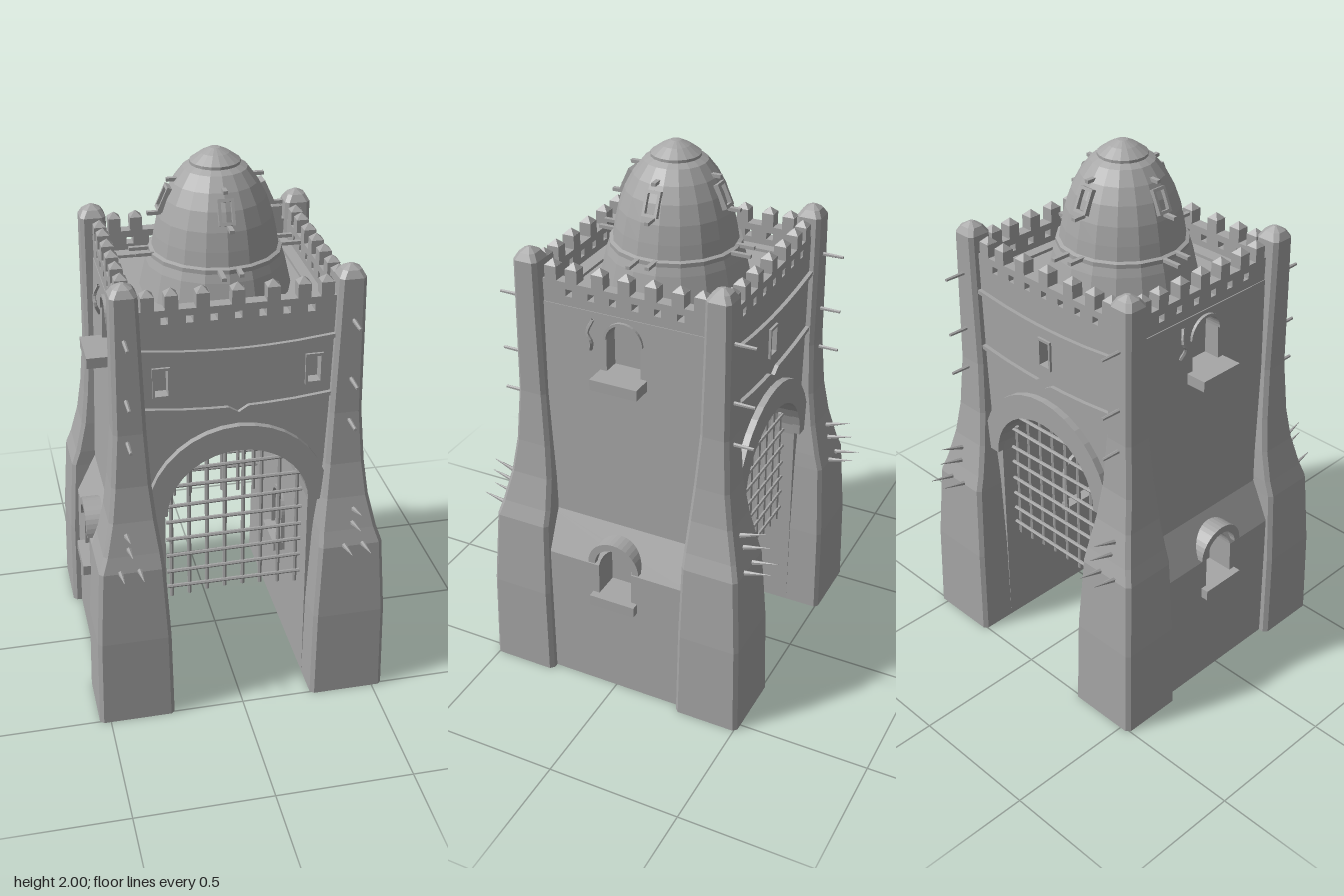
import * as THREE from 'three';

const stone = new THREE.MeshStandardMaterial({ color: 0xa6a6a6, flatShading: true, side: THREE.DoubleSide });
stone.name = 'grey stone';

function add(parent, name, geometry, x = 0, y = 0, z = 0) {
  const mesh = new THREE.Mesh(geometry, stone);
  mesh.name = name;
  mesh.position.set(x, y, z);
  parent.add(mesh);
  return mesh;
}
const box = (parent, name, w, h, d, x, y, z) => add(parent, name, new THREE.BoxGeometry(w, h, d), x, y, z);
const extrude = (shape, depth) => new THREE.ExtrudeGeometry(shape, { depth, bevelEnabled: false, curveSegments: 14 });
const polygon = (pts) => new THREE.Shape(pts.map(([x, y]) => new THREE.Vector2(x, y)));
const rect = (cx, cy, w, h) => polygon([[cx - w / 2, cy - h / 2], [cx + w / 2, cy - h / 2], [cx + w / 2, cy + h / 2], [cx - w / 2, cy + h / 2]]);

// Points of a half ellipse, running from +x over the top to -x
function arc(rx, ry, cy, n = 18) {
  return Array.from({ length: n + 1 }, (_, i) => {
    const a = Math.PI * i / n;
    return [rx * Math.cos(a), cy + ry * Math.sin(a)];
  });
}
const archBand = (ro, ri, cy, ryo = ro, ryi = ri) => polygon([...arc(ro, ryo, cy), ...arc(ri, ryi, cy).reverse()]);

// Tapered round bar between two points
function bar(parent, name, a, b, r0, r1 = r0, sides = 6) {
  const p = new THREE.Vector3(...a), q = new THREE.Vector3(...b), d = q.clone().sub(p);
  const mesh = add(parent, name, new THREE.CylinderGeometry(r1, r0, d.length(), sides));
  mesh.position.copy(p).add(q).multiplyScalar(0.5);
  mesh.quaternion.setFromUnitVectors(new THREE.Vector3(0, 1, 0), d.normalize());
}

// Skin over a stack of equal rings, closed at both ends
function loft(rings) {
  const v = [], n = rings[0].length;
  const tri = (...p) => p.forEach((q) => v.push(...q));
  for (let k = 0; k < rings.length - 1; k++) for (let i = 0; i < n; i++) {
    const j = (i + 1) % n, a = rings[k], b = rings[k + 1];
    tri(a[i], a[j], b[j]);
    tri(a[i], b[j], b[i]);
  }
  const bottom = rings[0], top = rings[rings.length - 1];
  for (let i = 1; i < n - 1; i++) {
    tri(bottom[0], bottom[i + 1], bottom[i]);
    tri(top[0], top[i], top[i + 1]);
  }
  const g = new THREE.BufferGeometry();
  g.setAttribute('position', new THREE.Float32BufferAttribute(v, 3));
  g.computeVertexNormals();
  return g;
}

// Corner tower levels: y, inner x, outer x, inner z, outer z
const LEVELS = [
  [0, .26, .54, .26, .51], [.35, .265, .533, .265, .503], [.64, .28, .515, .27, .485], [.7, .285, .495, .27, .468],
  [.82, .3, .468, .275, .44], [.95, .312, .452, .285, .42], [1.15, .322, .437, .3, .408], [1.45, .332, .434, .308, .406],
  [1.65, .338, .432, .312, .404], [1.675, .352, .418, .328, .39], [1.69, .378, .392, .352, .366],
];
function tower(sx, sz) {
  const g = new THREE.Group();
  g.name = 'cornerTower';
  add(g, 'towerBody', loft(LEVELS.map(([y, xi, xo, zi, zo]) => {
    const c = Math.min(.014, (xo - xi) / 4);
    const x0 = Math.min(sx * xi, sx * xo), x1 = Math.max(sx * xi, sx * xo);
    const z0 = Math.min(sz * zi, sz * zo), z1 = Math.max(sz * zi, sz * zo);
    return [[x1, z1 - c], [x1, z0 + c], [x1 - c, z0], [x0 + c, z0], [x0, z0 + c], [x0, z1 - c], [x0 + c, z1], [x1 - c, z1]]
      .map(([x, z]) => [x, y, z]);
  })));
  // Long spikes at the foot of the slope, short pegs above
  for (const [x, y, z, tip, rise] of [[.372, .64, .47, .58, .025], [.44, .64, .47, .58, .025], [.405, .72, .45, .56, .03], [.41, .77, .44, .545, .035]]) {
    bar(g, 'spike', [sx * x, y, sz * z], [sx * x, y + rise, sz * tip], .011, .001);
  }
  for (const y of [1.12, 1.28, 1.5]) bar(g, 'peg', [sx * .39, y, sz * .39], [sx * .39, y, sz * .483], .008, .006);
  return g;
}

// Parapet run along x with drain holes and pointed merlons
function parapet(half, merlons, holes) {
  const g = new THREE.Group();
  g.name = 'parapet';
  const wall = rect(0, 1.54, half * 2, .09);
  holes.forEach((x) => wall.holes.push(rect(x, 1.547, .026, .026)));
  add(g, 'parapetWall', extrude(wall, .045), 0, 0, -.0225);
  for (const x of merlons) {
    box(g, 'merlon', .045, .055, .045, x, 1.607, 0);
    const cap = new THREE.ConeGeometry(.0318, .022, 4);
    add(g, 'merlonCap', cap.rotateY(Math.PI / 4), x, 1.645, 0);
  }
  return g;
}

// Gate wall facing +z
function gateFace(windows) {
  const g = new THREE.Group();
  g.name = 'gateFace';
  const wall = polygon([[.345, 0], [.345, 1.5], [-.345, 1.5], [-.345, 0], [-.26, 0], ...arc(.26, .25, .79).reverse(), [.26, 0]]);
  windows.forEach((x) => wall.holes.push(rect(x, 1.32, .045, .095)));
  add(g, 'gateWall', extrude(wall, .035), 0, 0, .34);
  for (const x of windows) {
    const frame = rect(x, 1.32, .062, .115);
    frame.holes.push(rect(x, 1.32, .045, .095));
    add(g, 'windowFrame', extrude(frame, .012), 0, 0, .372);
  }
  add(g, 'archMoulding', extrude(archBand(.33, .255, .8, .335, .24), .03), 0, 0, .37);
  // Sagging string courses, the lower one with a point in the middle
  for (const [y, point] of [[1.412, 0], [1.192, .022]]) {
    const xs = [-.34, -.2, -.1, -.035, 0, .035, .1, .2, .34];
    const line = (t) => xs.map((x) => [x, y + t + .2 * x * x - (x === 0 ? point : 0)]);
    add(g, 'stringCourse', extrude(polygon([...line(0), ...line(.015).reverse()]), .018), 0, 0, .372);
  }
  // Portcullis
  for (const x of [-.232, -.166, -.1, -.034, .034, .1, .167, .234]) {
    const top = .78 + .25 * Math.sqrt(1 - (x / .26) ** 2);
    bar(g, 'portcullisUpright', [x, .4 + .02 * Math.abs(Math.sin(x * 40)), .325], [x * .99, Math.min(top, 1), .325], .008);
  }
  [.45, .52, .585, .66, .73, .8, .88, .95].forEach((y, i) => {
    const w = y > .85 ? .26 * Math.sqrt(1 - ((y - .79) / .25) ** 2) : .25;
    bar(g, 'portcullisRail', [-w, y - .004 * (i % 2), .333], [w, y + .004 * (i % 3), .333], .007);
  });
  const p = parapet(.345, [-.305, -.225, -.12, 0, .12, .225, .305], [-.25, -.165, -.083, 0, .083, .165, .25]);
  p.position.z = .3525;
  g.add(p);
  return g;
}

// Slice of the side wall whose outer face leans from x0 to x1
function wallSlice(parent, pts, y0, y1, x0, x1, inner, hole) {
  const shape = polygon(pts);
  if (hole) shape.holes.push(hole);
  const geo = extrude(shape, 1).rotateY(Math.PI / 2), p = geo.attributes.position;
  for (let i = 0; i < p.count; i++) {
    p.setX(i, p.getX(i) > .5 ? x0 + (x1 - x0) * (p.getY(i) - y0) / (y1 - y0) : inner);
  }
  geo.computeVertexNormals();
  add(parent, 'sideWall', geo);
}

// Closed side facing +x
function sideFace() {
  const g = new THREE.Group();
  g.name = 'sideFace';
  const h = .32, w = .065;
  wallSlice(g, [[-h, 0], [h, 0], [h, .41], [-h, .41]], 0, .41, .507, .501, .38);
  for (const s of [-1, 1]) wallSlice(g, [[s * h, .41], [s * w, .41], [s * w, .53], [s * h, .53]], .41, .53, .501, .498, .38);
  wallSlice(g, [[h, .53], [h, .68], [-h, .68], [-h, .53], ...arc(w, w, .53).reverse()], .53, .68, .498, .425, .38);
  wallSlice(g, [[-h, .68], [h, .68], [h, 1.5], [-h, 1.5]], .68, 1.5, .425, .393, .34,
    polygon([[-w, 1.29], [w, 1.29], ...arc(w, w, 1.41)]));
  // Window sills and hood
  box(g, 'upperSill', .09, .04, .18, .435, 1.27, 0);
  box(g, 'lowerSill', .09, .04, .18, .485, .39, 0);
  add(g, 'windowHood', extrude(archBand(.102, .075, .545), .09).rotateY(Math.PI / 2), .42, 0, 0);
  add(g, 'upperWindowTrim', extrude(archBand(.075, .065, 1.41), .012).rotateY(Math.PI / 2), .393, 0, 0);
  // Window surround inside the passage
  box(g, 'innerSill', .05, .035, .17, .24, .388, 0);
  const surround = polygon([[-.08, .41], [-w, .41], ...arc(w, w, .53).reverse(), [w, .41], [.08, .41], ...arc(.08, .08, .53)]);
  add(g, 'innerSurround', extrude(surround, .02).rotateY(Math.PI / 2), .245, 0, 0);
  // Twisted bracket beside the upper window
  const curve = new THREE.CatmullRomCurve3([[.4, 1.36, .125], [.415, 1.4, .115], [.415, 1.43, .13], [.4, 1.475, .115]].map((p) => new THREE.Vector3(...p)));
  add(g, 'bracket', new THREE.TubeGeometry(curve, 10, .007, 5));
  const p = parapet(.32, [-.28, -.2, -.1, 0, .1, .2, .28], [-.21, -.125, -.042, .042, .125, .21]);
  p.rotation.y = Math.PI / 2;
  p.position.x = .3675;
  g.add(p);
  return g;
}

function dome() {
  const g = new THREE.Group();
  g.name = 'dome';
  const profile = [[.268, 1.5], [.245, 1.6], [.235, 1.63], [.235, 1.645], [.222, 1.65], [.214, 1.7], [.2, 1.765], [.177, 1.83],
    [.148, 1.885], [.112, 1.932], [.088, 1.945], [.088, 1.955], [.05, 1.982], [.018, 1.998], [0, 2]];
  add(g, 'domeShell', new THREE.LatheGeometry(profile.map(([r, y]) => new THREE.Vector2(r, y)), 18));
  // One small window and its pegs on each of four sides
  for (let i = 0; i < 4; i++) {
    const s = new THREE.Group();
    s.name = 'domeSide';
    s.rotation.y = i * Math.PI / 2;
    const frame = rect(0, 0, .056, .09);
    frame.holes.push(rect(0, 0, .036, .068));
    add(s, 'domeWindow', extrude(frame, .022), 0, 1.825, .168).rotation.x = -.42;
    for (const [x, y, r0, r1] of [[0, 1.895, .1, .17], [.008, 1.782, .16, .24], [-.032, 1.64, .2, .3], [.032, 1.643, .2, .285]]) {
      box(s, 'domePeg', .016, .012, r1 - r0, x, y, (r0 + r1) / 2);
    }
    g.add(s);
  }
  return g;
}

export function createModel() {
  const model = new THREE.Group();
  model.name = 'gatehouse';
  // Solid core with the vaulted passage
  const core = polygon([[.26, 0], [.4, 0], [.4, .7], [.34, .75], [.34, 1.5], [-.34, 1.5], [-.34, .75], [-.4, .7], [-.4, 0], [-.26, 0],
    ...arc(.26, .25, .79).reverse()]);
  add(model, 'core', extrude(core, .68), 0, 0, -.34);
  // Raised edge of the roof terrace
  const edge = rect(0, 0, .69, .67);
  edge.holes.push(rect(0, 0, .61, .56));
  add(model, 'terraceEdge', extrude(edge, .012).rotateX(-Math.PI / 2), 0, 1.499, 0);
  for (const sx of [-1, 1]) for (const sz of [-1, 1]) model.add(tower(sx, sz));
  const back = gateFace([0]), right = sideFace();
  back.rotation.y = right.rotation.y = Math.PI;
  model.add(gateFace([-.265, .265]), back, sideFace(), right, dome());
  return model;
}
